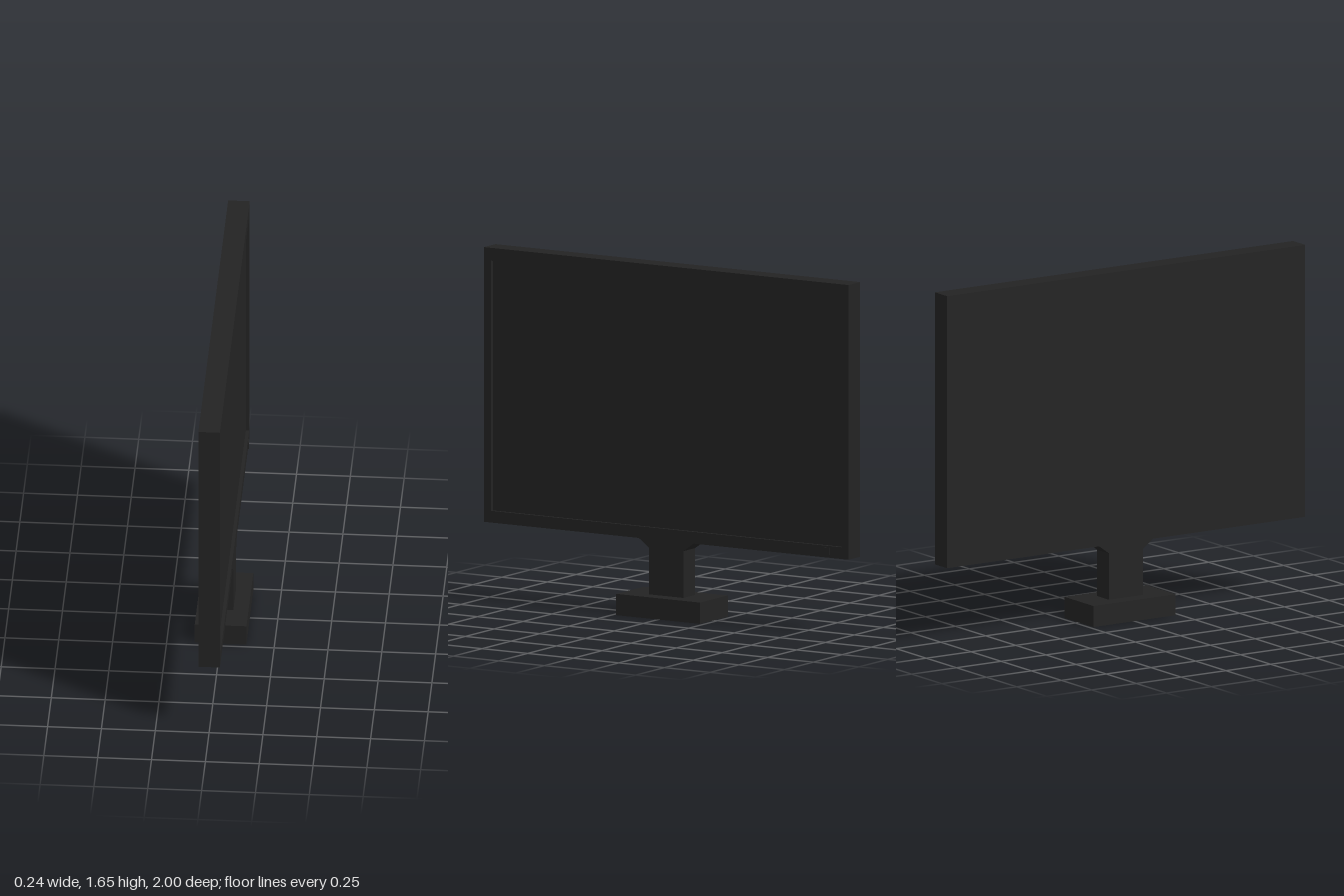
import * as THREE from 'three';

const BOTTOM = 0.36, TOP = 1.65, HALF_WIDTH = 1, HALF_DEPTH = 0.05, RECESS = 0.015;

// Closed shape from [across, up] points
const outline = (points) => new THREE.Shape(points.map(([a, b]) => new THREE.Vector2(a, b)));
const rect = (w, y0, y1) => [[-w, y0], [w, y0], [w, y1], [-w, y1]];

export function createModel() {
  const group = new THREE.Group();
  const plastic = new THREE.MeshStandardMaterial({ name: 'charcoal plastic', color: 0x232323 });

  const add = (name, geometry) => {
    const mesh = new THREE.Mesh(geometry, plastic);
    mesh.name = name;
    group.add(mesh);
  };
  const box = (name, [x0, x1], [y0, y1], [z0, z1]) =>
    add(name, new THREE.BoxGeometry(x1 - x0, y1 - y0, z1 - z0)
      .translate((x0 + x1) / 2, (y0 + y1) / 2, (z0 + z1) / 2));
  // Extrude an outline drawn in the screen plane along +x
  const slab = (name, shape, x0, x1) =>
    add(name, new THREE.ExtrudeGeometry(shape, { depth: x1 - x0, bevelEnabled: false })
      .rotateY(Math.PI / 2).translate(x0, 0, 0));

  // Housing; its screen-side face is the recessed screen
  const screenX = HALF_DEPTH - RECESS;
  box('screenHousing', [-HALF_DEPTH, screenX], [BOTTOM, TOP], [-HALF_WIDTH, HALF_WIDTH]);

  // Raised bezel around the screen
  const bezel = outline(rect(HALF_WIDTH, BOTTOM, TOP));
  bezel.holes.push(outline(rect(0.96, 0.415, 1.59)));
  slab('bezel', bezel, screenX, HALF_DEPTH);

  // Power button on the lower bezel
  box('powerButton', [HALF_DEPTH, 0.055], [0.373, 0.408], [-0.898, -0.868]);

  // Neck flaring out where it meets the housing
  slab('neck', outline([
    [-0.095, 0.1], [0.095, 0.1], [0.095, 0.32], [0.15, BOTTOM],
    [-0.15, BOTTOM], [-0.095, 0.32],
  ]), -HALF_DEPTH, HALF_DEPTH);

  // Foot
  box('base', [-0.12, 0.12], [0, 0.1], [-0.23, 0.23]);

  return group;
}
